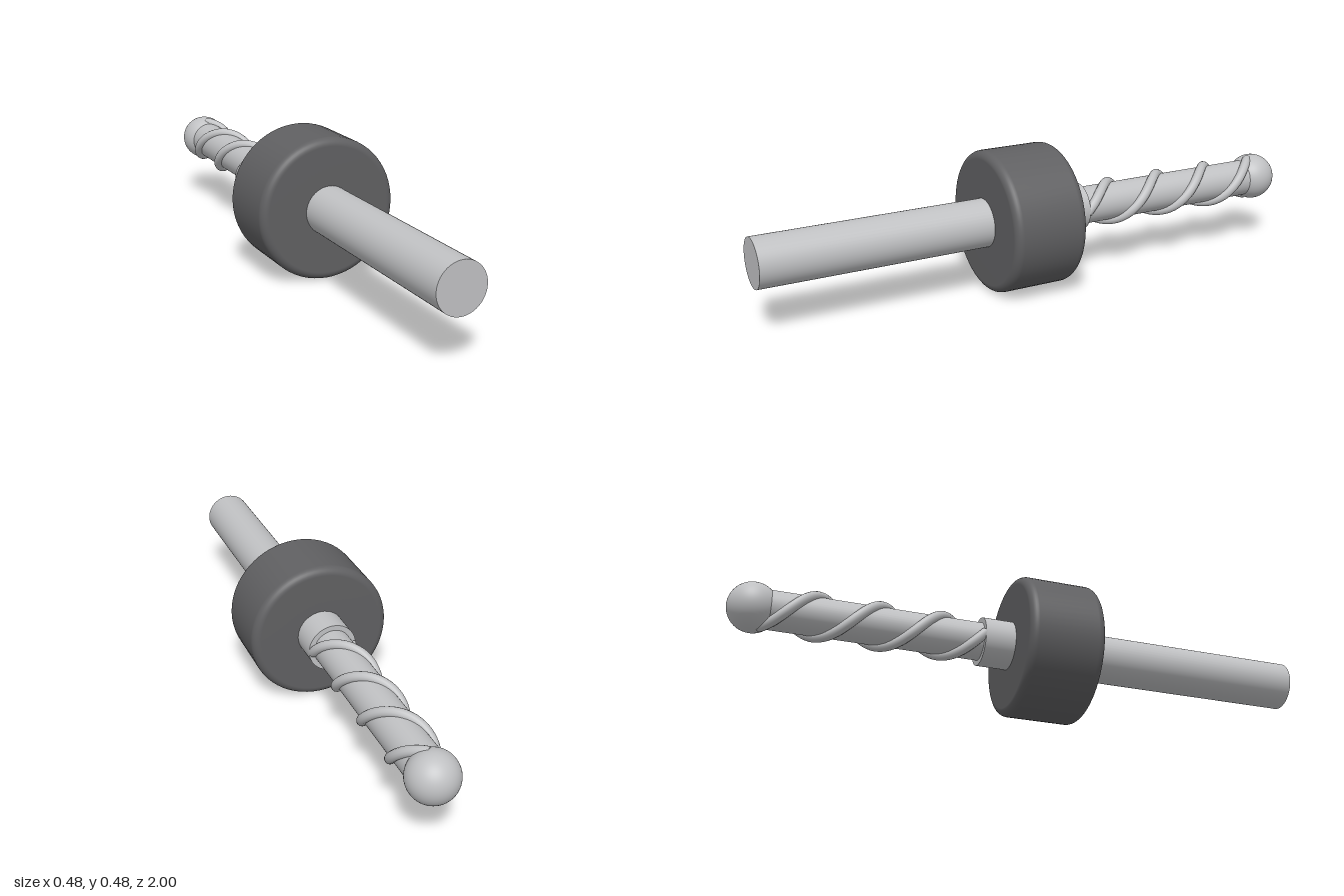
import * as THREE from 'three';

export function createModel() {
  const steel = new THREE.MeshStandardMaterial({ color: 0xc0c1c3 });
  steel.name = 'steel grey';
  const rubber = new THREE.MeshStandardMaterial({ color: 0x606062 });
  rubber.name = 'dark grey';

  // The tool lies along z; its axis is lifted to the collar radius.
  const model = new THREE.Group();
  model.name = 'ballEndMill';
  const tool = new THREE.Group();
  tool.name = 'tool';
  tool.position.y = 0.242;
  model.add(tool);

  const add = (name, geometry, material) => {
    const mesh = new THREE.Mesh(geometry, material);
    mesh.name = name;
    tool.add(mesh);
    return mesh;
  };

  // Cylinder along z between two positions
  const rod = (name, radius, z0, z1) => {
    const geometry = new THREE.CylinderGeometry(radius, radius, z1 - z0, 48);
    geometry.rotateX(Math.PI / 2).translate(0, 0, (z0 + z1) / 2);
    return add(name, geometry, steel);
  };

  const SHANK_R = 0.083;
  const SHANK_END = -0.158;
  const BALL_Z = -0.917;
  rod('shank', SHANK_R, SHANK_END, 1);
  rod('core', 0.065, BALL_Z, SHANK_END);

  // Ball nose
  const ball = add('ballNose', new THREE.SphereGeometry(SHANK_R, 48, 32), steel);
  ball.position.z = BALL_Z;

  // Depth collar with rounded rims
  const R = 0.242, zBack = -0.053, zFront = 0.211, fillet = 0.027;
  const profile = [new THREE.Vector2(SHANK_R - 0.005, zBack)];
  [[zBack + fillet, -Math.PI / 2], [zFront - fillet, 0]].forEach(([z, start]) => {
    for (let i = 0; i <= 8; i++) {
      const a = start + (i / 8) * Math.PI / 2;
      profile.push(new THREE.Vector2(R - fillet + fillet * Math.cos(a), z + fillet * Math.sin(a)));
    }
  });
  profile.push(new THREE.Vector2(SHANK_R - 0.005, zFront));
  add('collar', new THREE.LatheGeometry(profile, 64).rotateX(Math.PI / 2), rubber);

  // Two spiral cutting edges, half a turn apart
  const PITCH = 0.42, EDGE_R = 0.0665, TUBE_R = 0.0172;
  const EDGE_START = -0.155, EDGE_END = -0.893;
  class Helix extends THREE.Curve {
    constructor(phase) {
      super();
      this.phase = phase;
    }
    getPoint(t, target = new THREE.Vector3()) {
      const z = EDGE_START + t * (EDGE_END - EDGE_START);
      const a = this.phase + (2 * Math.PI * (-0.37 - z)) / PITCH;
      return target.set(EDGE_R * Math.cos(a), EDGE_R * Math.sin(a), z);
    }
  }
  ['A', 'B'].forEach((label, i) => {
    const path = new Helix(i * Math.PI);
    add('cuttingEdge' + label, new THREE.TubeGeometry(path, 140, TUBE_R, 14), steel);
    // Flat caps closing both ends
    [0, 1].forEach((t) => {
      const cap = add('edgeCap' + label + (t ? 'Tip' : 'Root'), new THREE.CircleGeometry(TUBE_R, 14), steel);
      const direction = path.getTangent(t).multiplyScalar(t ? 1 : -1);
      cap.position.copy(path.getPoint(t));
      cap.quaternion.setFromUnitVectors(new THREE.Vector3(0, 0, 1), direction);
    });
  });

  return model;
}
